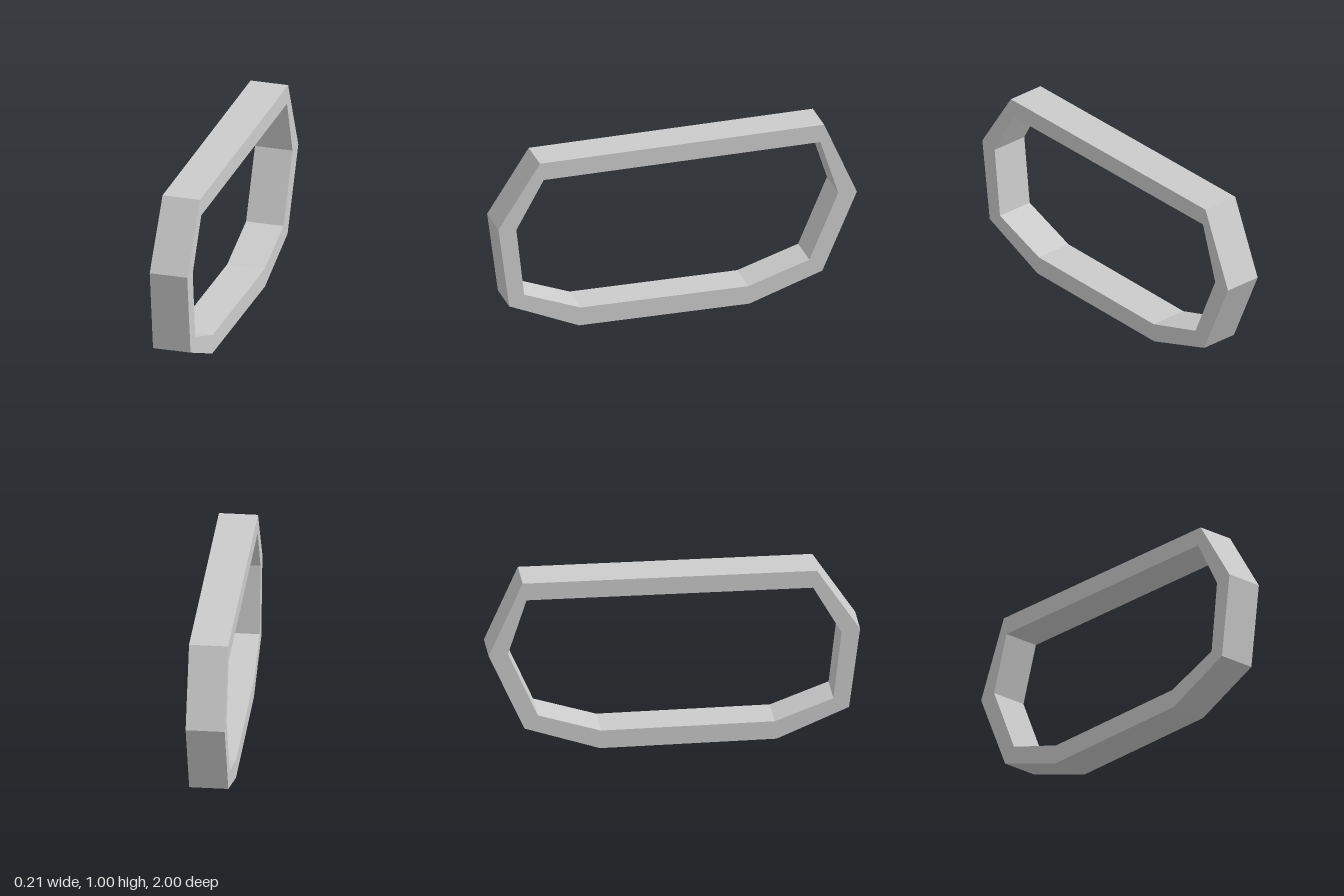
import * as THREE from 'three';

const WIDTH = 0.21;

// Side profiles as [z, y] corners
const OUTER = [[0.55, 0], [0.94, 0.165], [1, 0.625], [0.768, 0.983], [-0.817, 1], [-1, 0.58], [-0.807, 0.14], [-0.4, 0]];
const INNER = [[0.54, 0.104], [0.856, 0.222], [0.9, 0.61], [0.747, 0.884], [-0.796, 0.9], [-0.896, 0.587], [-0.735, 0.214], [-0.395, 0.104]];

const toPoints = (corners) => corners.map(([z, y]) => new THREE.Vector2(z, y));

export function createModel() {
  const group = new THREE.Group();
  group.name = 'octagonalLoop';

  // Flat eight-sided band with an open middle
  const profile = new THREE.Shape(toPoints(OUTER));
  profile.holes.push(new THREE.Path(toPoints(INNER)));
  const geometry = new THREE.ExtrudeGeometry(profile, { depth: WIDTH, bevelEnabled: false });

  // Centre the width, then turn the profile into the side plane
  geometry.translate(0, 0, -WIDTH / 2);
  geometry.rotateY(-Math.PI / 2);

  const band = new THREE.Mesh(geometry, new THREE.MeshStandardMaterial({ color: 0xcccccc, flatShading: true }));
  band.name = 'band';
  group.add(band);
  return group;
}
